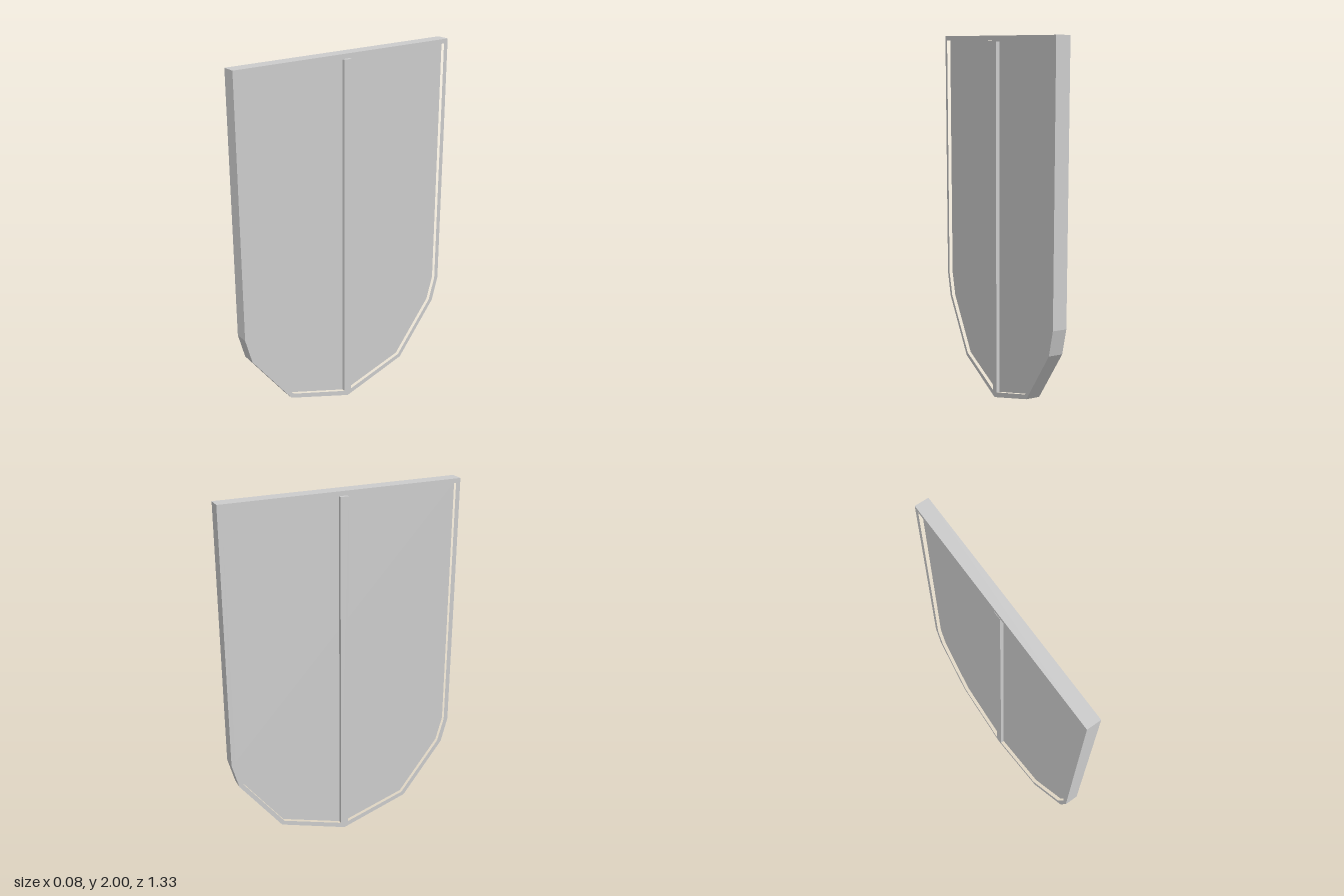
import * as THREE from 'three';

const HALF = 0.038;   // half thickness of rim and bar
const RECESS = 0.02;  // how far the panel sits below the rim

// Half outlines (z, y) from the top corner down to the bottom point
const OUTER = [[0.663, 2], [0.663, 0.578], [0.625, 0.437], [0.387, 0.127], [0, 0]];
const INNER = [[0.638, 1.976], [0.638, 0.58], [0.6, 0.445], [0.372, 0.148], [0, 0.029]];
const BAR = [[0.023, 1.97], [0.023, 0.036], [0, 0.029]];

// Mirror a half outline into a closed list of points
function mirrored(half) {
  const right = half.map(([z, y]) => new THREE.Vector2(z, y));
  const left = half.slice(0, -1).reverse().map(([z, y]) => new THREE.Vector2(-z, y));
  return [...right, ...left];
}

// Plate of the given outline, centred on x = 0 and facing both sides
function plate(name, outline, halfDepth, hole) {
  const shape = new THREE.Shape(mirrored(outline));
  if (hole) shape.holes.push(new THREE.Path(mirrored(hole)));
  const geometry = new THREE.ExtrudeGeometry(shape, { depth: 2 * halfDepth, bevelEnabled: false });
  geometry.translate(0, 0, -halfDepth);
  geometry.rotateY(Math.PI / 2);
  const mesh = new THREE.Mesh(geometry, new THREE.MeshStandardMaterial({ color: 0xcccccc, flatShading: true }));
  mesh.name = name;
  return mesh;
}

export function createModel() {
  const group = new THREE.Group();
  group.name = 'shieldPanel';
  group.add(
    plate('rim', OUTER, HALF, INNER),
    plate('recessedPanel', INNER, HALF - RECESS),
    plate('centreBar', BAR, HALF),
  );
  return group;
}
